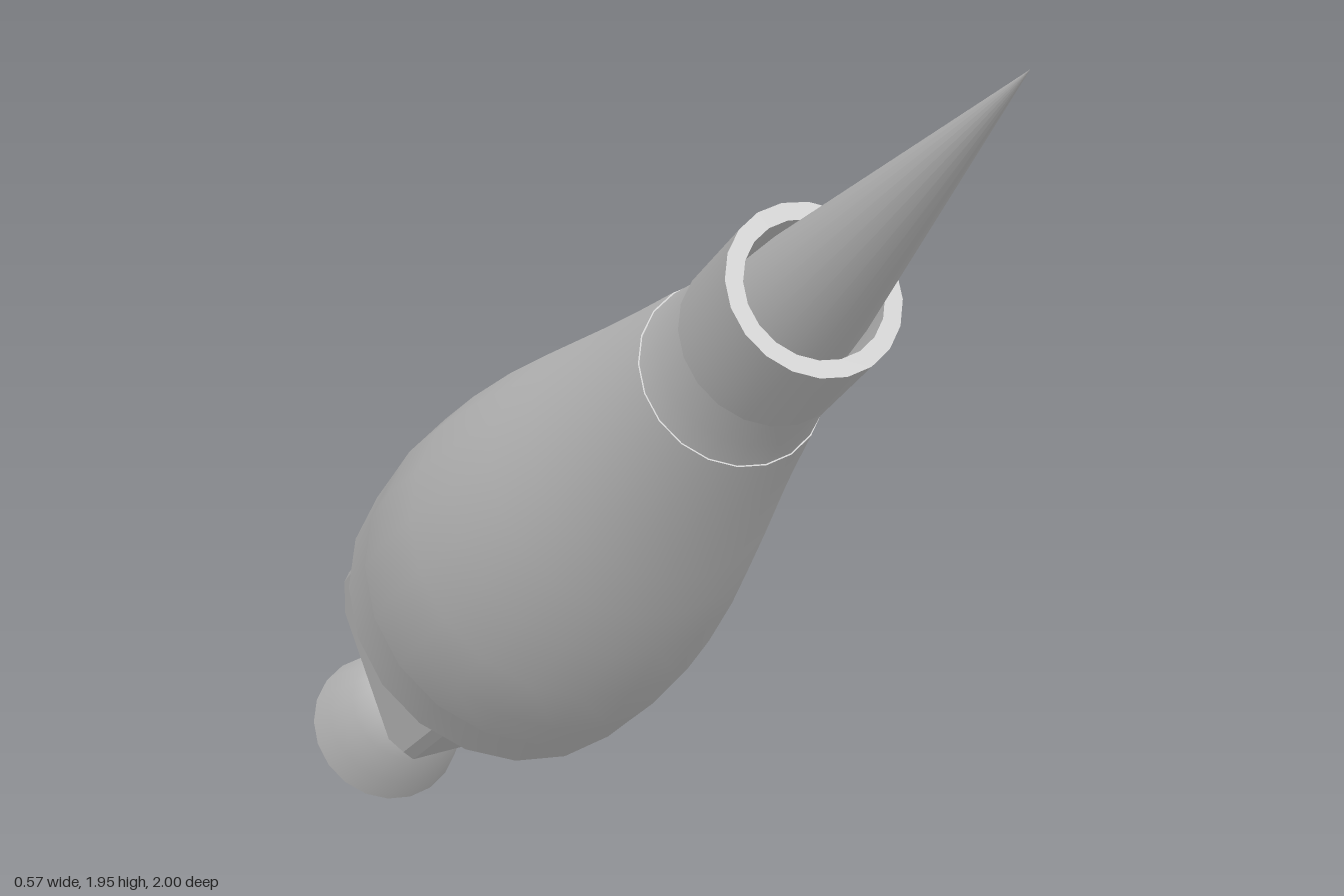
import * as THREE from 'three';
import { toCreasedNormals } from 'three/addons/utils/BufferGeometryUtils.js';

const SIDES = 20;

export function createModel() {
  const model = new THREE.Group();
  model.name = 'rocket';
  const grey = new THREE.MeshStandardMaterial({ color: 0xc8c8c8 });
  grey.name = 'light grey';

  // Everything is built along +y from the nozzle exit, then tilted as one
  const rocket = new THREE.Group();
  rocket.name = 'tiltedRocket';
  model.add(rocket);

  const add = (name, geometry, crease) => {
    const mesh = new THREE.Mesh(toCreasedNormals(geometry, crease), grey);
    mesh.name = name;
    rocket.add(mesh);
    return mesh;
  };

  // Round parts: profile of [radius, distance along axis]
  const turned = (name, profile) =>
    add(name, new THREE.LatheGeometry(profile.map(([r, s]) => new THREE.Vector2(r, s)), SIDES), 0.6);

  // Blocks: side outline of [height, distance along axis], extruded sideways
  const block = (name, outline, width, bevel) => {
    const shape = new THREE.Shape(outline.map(([h, s]) => new THREE.Vector2(h, s)));
    const geometry = new THREE.ExtrudeGeometry(shape, {
      depth: width - 2 * bevel, bevelEnabled: true, bevelSegments: 1,
      bevelSize: bevel, bevelThickness: bevel, bevelOffset: -bevel,
    });
    geometry.translate(0, 0, -width / 2 + bevel);
    geometry.rotateY(Math.PI / 2);
    return add(name, geometry, 0.1);
  };

  // Hollow engine bell
  turned('engineBell', [
    [0, 0.19], [0.05, 0.18], [0.085, 0.12], [0.108, 0.06], [0.122, 0], [0.132, 0],
    [0.121, 0.06], [0.102, 0.13], [0.078, 0.197], [0.062, 0.215], [0, 0.215],
  ]);

  // Ringed engine neck
  turned('engineNeck', [
    [0, 0.2], [0.066, 0.2], [0.066, 0.22], [0.078, 0.225], [0.078, 0.245], [0.068, 0.25],
    [0.068, 0.27], [0.08, 0.29], [0.098, 0.32], [0.104, 0.34], [0.104, 0.41], [0, 0.41],
  ]);

  // Small wedge on the upper side of the neck
  block('neckWedge', [[0.07, 0.285], [0.104, 0.308], [0.146, 0.351], [0.117, 0.385], [0.07, 0.41]], 0.09, 0.008);

  // Square engine housing with chamfered rear edges
  block('engineHousing', [
    [0.12, 0.388], [0.17, 0.438], [0.178, 0.69], [-0.178, 0.69], [-0.165, 0.438], [-0.12, 0.388],
  ], 0.34, 0.015);

  // Band around the foot of the hull
  turned('baseBand', [[0, 0.668], [0.273, 0.668], [0.277, 0.77], [0, 0.77]]);

  // Tapering hull
  turned('hull', [
    [0, 0.768], [0.277, 0.768], [0.281, 0.86], [0.27, 0.98], [0.25, 1.12], [0.227, 1.24],
    [0.205, 1.345], [0.183, 1.45], [0.162, 1.56], [0.145, 1.656], [0, 1.656],
  ]);

  // Narrow shoulder below the collar
  turned('shoulder', [[0, 1.65], [0.143, 1.655], [0.134, 1.71], [0.127, 1.8], [0, 1.8]]);

  // Open collar around the nose
  turned('noseCollar', [
    [0, 1.785], [0.133, 1.785], [0.133, 1.965], [0.106, 1.965], [0.106, 1.83], [0, 1.83],
  ]);

  // Needle nose cone
  turned('noseCone', [[0, 1.82], [0.104, 1.82], [0.092, 1.965], [0, 2.667]]);

  // Tilt the axis up and forwards, with a slight turn to the left
  const axis = new THREE.Vector3(0.205, 1.85, 1.91).normalize();
  const side = new THREE.Vector3(0, 1, 0).cross(axis).normalize();
  const down = side.clone().cross(axis);
  rocket.quaternion.setFromRotationMatrix(new THREE.Matrix4().makeBasis(side, axis, down));
  rocket.position.set(-0.07, 0.1, -0.91);
  return model;
}
